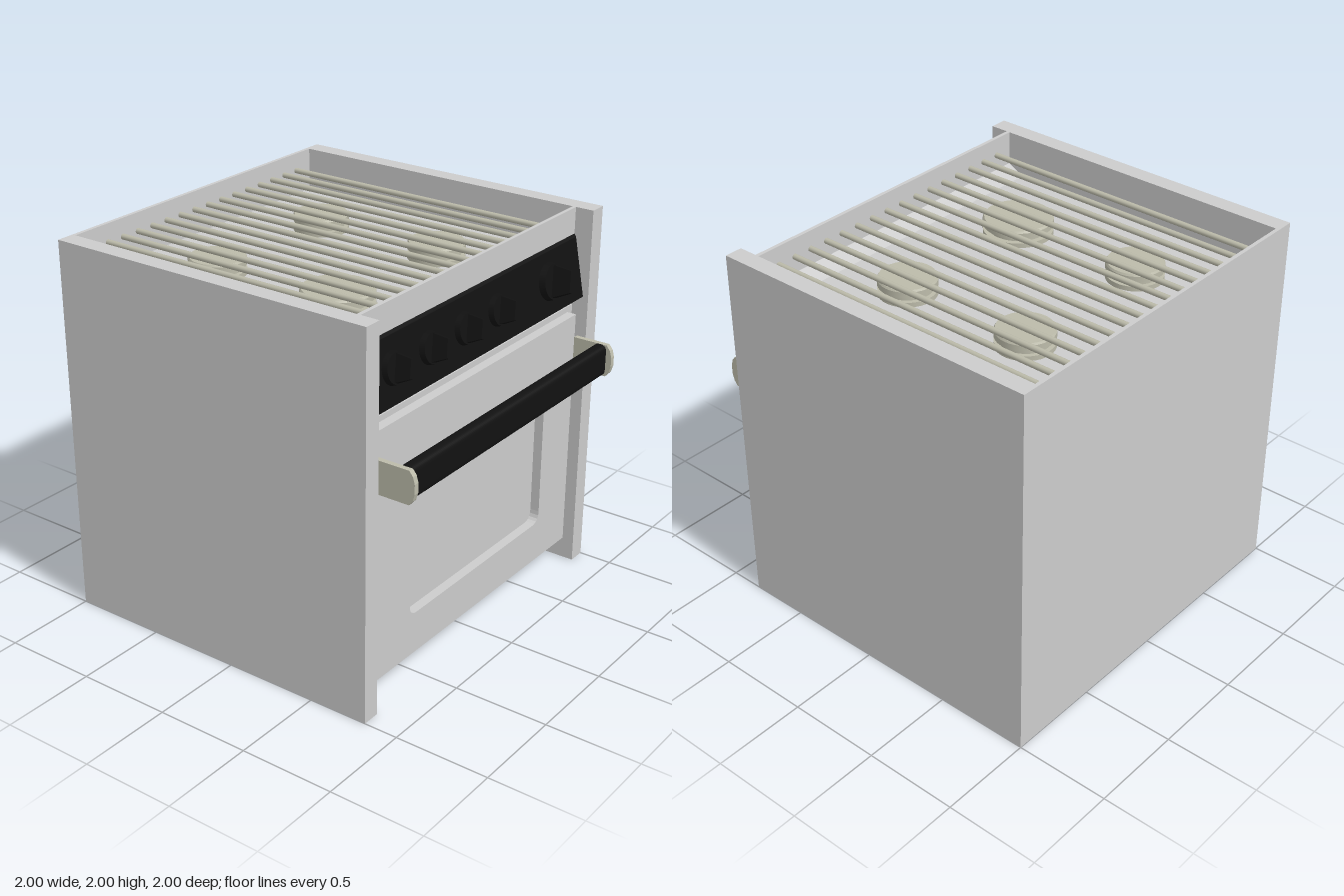
import * as THREE from 'three';

const grey = new THREE.MeshStandardMaterial({ color: 0xcccccc });
const black = new THREE.MeshStandardMaterial({ color: 0x111111 });
const metal = new THREE.MeshStandardMaterial({ color: 0xbcbbaa });

export function createModel() {
  const model = new THREE.Group();

  function add(name, geometry, material, parent = model) {
    const mesh = new THREE.Mesh(geometry, material);
    mesh.name = name;
    parent.add(mesh);
    return mesh;
  }

  // Box given by its lower and upper corners
  function box(name, a, b, material = grey) {
    const size = a.map((v, i) => b[i] - v);
    const mesh = add(name, new THREE.BoxGeometry(...size), material);
    mesh.position.set(...a.map((v, i) => (v + b[i]) / 2));
    return mesh;
  }

  // Section in (z, y) swept along x from x0 to x1
  function sweepX(name, shape, x0, x1, material) {
    const g = new THREE.ExtrudeGeometry(shape, { depth: x1 - x0, bevelEnabled: false, curveSegments: 10 });
    g.rotateY(-Math.PI / 2); // (z, y, depth) -> (-depth, y, z)
    g.translate(x1, 0, 0);
    return add(name, g, material);
  }
  const polygon = (pts) => new THREE.Shape(pts.map(([x, y]) => new THREE.Vector2(x, y)));

  function roundedRect(path, x0, y0, x1, y1, r) {
    path.moveTo(x0 + r, y0);
    path.lineTo(x1 - r, y0);
    path.quadraticCurveTo(x1, y0, x1, y0 + r);
    path.lineTo(x1, y1 - r);
    path.quadraticCurveTo(x1, y1, x1 - r, y1);
    path.lineTo(x0 + r, y1);
    path.quadraticCurveTo(x0, y1, x0, y1 - r);
    path.lineTo(x0, y0 + r);
    path.quadraticCurveTo(x0, y0, x0 + r, y0);
    return path;
  }

  // Cabinet
  box('leftSidePanel', [0.905, 0, -1], [1, 2, 0.82]);
  box('rightSidePanel', [-1, 0, -1], [-0.905, 2, 0.82]);
  box('backPanel', [-0.905, 0, -1], [0.905, 2, -0.98]);
  box('ovenBody', [-0.905, 0.145, -0.98], [0.905, 1.77, 0.61]);
  box('frontRail', [-0.905, 1.48, 0.7], [0.905, 2, 0.72]);
  sweepX('trayFrontSlope', polygon([[0.61, 1.74], [0.7, 1.74], [0.7, 1.82], [0.61, 1.77]]), -0.905, 0.905, grey);

  // Oven door with a recessed window
  box('doorFrame', [-0.905, 0.145, 0.64], [0.905, 1.48, 0.73]);
  const doorShape = roundedRect(new THREE.Shape(), -0.86, 0.145, 0.86, 1.45, 0);
  doorShape.holes.push(roundedRect(new THREE.Path(), -0.59, 0.365, 0.585, 1.2, 0.06));
  const door = new THREE.ExtrudeGeometry(doorShape, { depth: 0.05, bevelEnabled: false, curveSegments: 5 });
  add('ovenDoor', door, grey).position.z = 0.73;

  // Door handle
  sweepX('handleBar', roundedRect(new THREE.Shape(), 0.895, 1.155, 0.968, 1.325, 0.036), -0.86, 0.86, black);
  const bracket = polygon([[0.78, 1.155], [0.97, 1.155], [0.99, 1.18], [1, 1.215], [1, 1.265],
    [0.99, 1.3], [0.97, 1.325], [0.78, 1.325]]);
  sweepX('leftHandleBracket', bracket, 0.857, 0.885, metal);
  sweepX('rightHandleBracket', bracket, -0.885, -0.857, metal);

  // Sloping control panel
  sweepX('controlPanel', polygon([[0.72, 1.535], [0.79, 1.535], [0.73, 1.845], [0.72, 1.86]]), -0.905, 0.905, black);

  // Knobs: a tapered dial with a raised, turned grip
  const slope = Math.atan2(0.06, 0.31);
  function knob(x, r) {
    const group = new THREE.Group();
    group.name = 'knob';
    const dial = new THREE.CylinderGeometry(r * 0.93, r, r * 0.35, 28);
    dial.rotateX(Math.PI / 2);
    dial.translate(0, 0, r * 0.17);
    add('knobDial', dial, black, group);
    const grip = new THREE.BoxGeometry(r * 0.5, r * 1.8, r * 1.25);
    const p = grip.attributes.position;
    for (let i = 0; i < p.count; i++) {
      if (p.getZ(i) > 0) p.setXY(i, p.getX(i) * 0.55, p.getY(i) * 0.62);
    }
    grip.translate(0, 0, r * 0.7);
    grip.computeVertexNormals();
    add('knobGrip', grip, black, group).rotation.z = -0.35;
    group.position.set(x, 1.7, 0.758);
    group.rotation.x = -slope;
    model.add(group);
  }
  for (const x of [-0.72, -0.435, -0.15, 0.135]) knob(x, 0.08);
  knob(0.61, 0.097);

  // Burners: base, neck and cap
  for (const [x, z, r] of [[-0.42, -0.51, 0.145], [0.405, -0.51, 0.145], [-0.41, 0.22, 0.18], [0.405, 0.22, 0.147]]) {
    const profile = [[0, 0], [r, 0], [r, 0.025], [r * 0.85, 0.025], [r * 0.85, 0.05], [r, 0.05], [r, 0.08], [r * 0.96, 0.09], [0, 0.09]];
    for (let i = 0; i + 1 < profile.length; i++) {
      const ring = profile.slice(i, i + 2).map((q) => new THREE.Vector2(...q));
      add('burner', new THREE.LatheGeometry(ring, 36), metal).position.set(x, 1.77, z);
    }
  }

  // Grate bars running front to back
  for (let i = 0; i < 16; i++) {
    const bar = new THREE.CylinderGeometry(0.015, 0.015, 1.68, 12);
    bar.rotateX(Math.PI / 2);
    add('grateBar', bar, metal).position.set(-0.797 + i * 0.1055, 1.905, -0.14);
  }
  return model;
}
